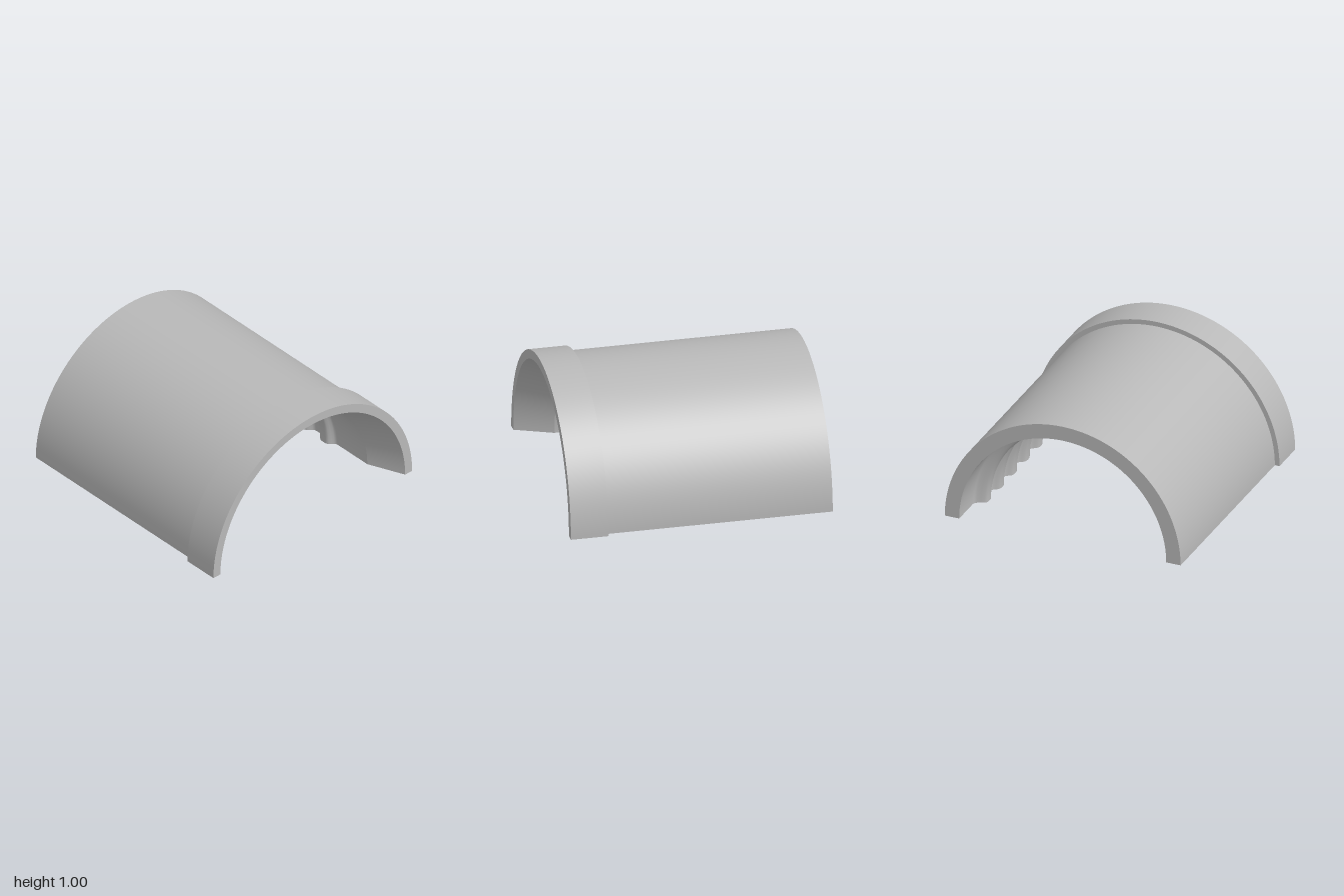
import * as THREE from 'three';
import { toCreasedNormals } from 'three/addons/utils/BufferGeometryUtils.js';

const FLANGE_R = 0.995, BODY_R = 0.957, STEP_Z = 0.715;
const CREST_R = 0.75, BORE_R = 0.805, BACK_R = 0.84;
const PITCH = 0.235, FIRST_CREST = 0.29, LAST_CREST = FIRST_CREST - 4 * PITCH;
const HOLE_R = 0.022, HOLE_DEPTH = 0.12, HOLE_X = 0.91;

// rounded rings inside the bore, listed from front to back as [radius, z]
function ribProfile() {
  const points = [];
  const perPitch = 20;
  for (let i = 0; i <= 5 * perPitch; i++) {
    const z = FIRST_CREST + PITCH / 2 - (i / perPitch) * PITCH;
    const wave = Math.tanh(2 * Math.cos(((z - FIRST_CREST) / PITCH) * Math.PI * 2)) / Math.tanh(2);
    const depth = (z < LAST_CREST ? BACK_R : BORE_R) - CREST_R;
    points.push([CREST_R + (depth * (1 - wave)) / 2, z]);
  }
  return points;
}

export function createModel() {
  const model = new THREE.Group();
  model.name = 'halfPipeShell';
  const grey = new THREE.MeshStandardMaterial({ color: 0xb8b8b8 });
  grey.name = 'grey';

  const add = (name, geometry) => {
    const mesh = new THREE.Mesh(geometry, grey);
    mesh.name = name;
    model.add(mesh);
    return mesh;
  };
  const vectors = (points) => points.map(([a, b]) => new THREE.Vector2(a, b));

  // half turn of a [radius, z] profile about the z axis, arching over y = 0
  const arch = (name, points, smooth = false) => {
    let geometry = new THREE.LatheGeometry(vectors(points), 96, Math.PI / 2, Math.PI);
    geometry.rotateX(Math.PI / 2);
    if (!smooth) geometry = toCreasedNormals(geometry, 0.3);
    return add(name, geometry);
  };

  const ribs = ribProfile();
  const ribStart = ribs[0], ribEnd = ribs[ribs.length - 1];

  const outer = [[BODY_R, -1], [BODY_R, STEP_Z]];
  const flange = [[BODY_R, STEP_Z], [FLANGE_R, STEP_Z], [FLANGE_R, 1], [0.925, 1]];
  const mouth = [[0.925, 1], [BORE_R, STEP_Z], ribStart];
  const backBore = [ribEnd, [BACK_R, -1], [BODY_R, -1]];

  arch('outerShell', outer);
  arch('frontFlange', flange);
  arch('taperedMouth', mouth);
  arch('innerRibs', ribs, true);
  arch('backBoreAndRim', backBore);

  // flat undersides with pin holes
  const outline = [...outer, ...flange.slice(1), ...mouth.slice(1), ...ribs.slice(1), [BACK_R, -1]];
  for (const side of [1, -1]) {
    const shape = new THREE.Shape(vectors(outline.map(([r, z]) => [side * r, z])));
    for (const z of [0.63, -0.19, -0.87]) {
      const hole = new THREE.Path();
      hole.absarc(side * HOLE_X, z, HOLE_R, 0, Math.PI * 2, true);
      shape.holes.push(hole);

      const pocket = new THREE.LatheGeometry(
        vectors([[0, HOLE_DEPTH], [HOLE_R, HOLE_DEPTH], [HOLE_R, 0]]), 24);
      add('pinHole', toCreasedNormals(pocket, 0.5)).position.set(side * HOLE_X, 0, z);
    }
    const face = new THREE.ShapeGeometry(shape, 12);
    face.rotateX(Math.PI / 2);
    add(side > 0 ? 'leftCutFace' : 'rightCutFace', face);
  }
  return model;
}
